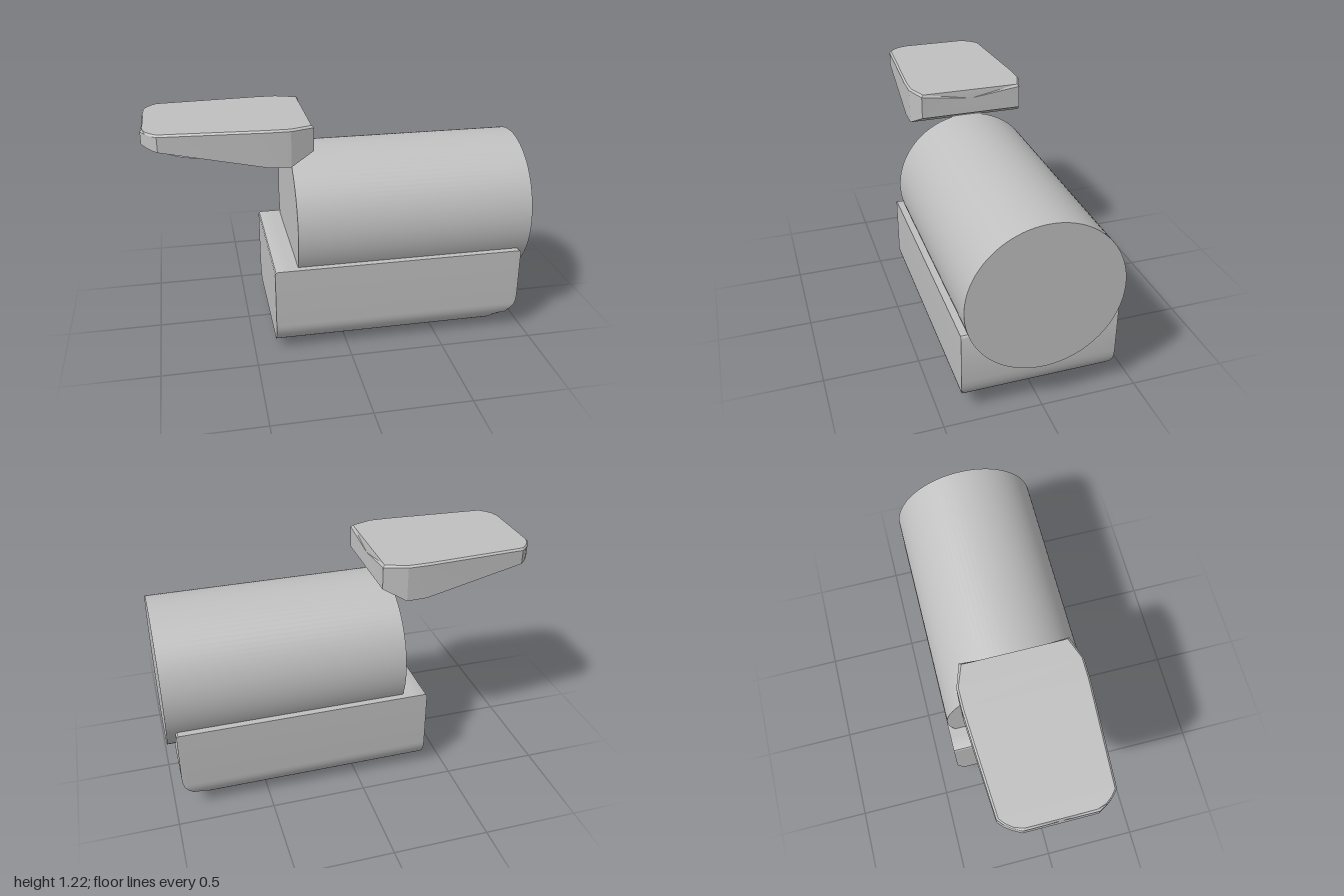
import * as THREE from 'three';
import { toCreasedNormals } from 'three/addons/utils/BufferGeometryUtils.js';

// Skin a row of convex rings (arrays of [x, y, z], running +y -> +z) stacked along +x, with end caps.
function loft(rings, crease) {
  const pos = [];
  const tri = (...pts) => pts.forEach((p) => pos.push(...p));
  const n = rings[0].length;
  const centre = (ring) => [0, 1, 2].map((k) => ring.reduce((s, p) => s + p[k], 0) / n);
  for (let i = 0; i < rings.length - 1; i++) {
    for (let j = 0; j < n; j++) {
      const k = (j + 1) % n;
      const [a, b, c, d] = [rings[i][j], rings[i][k], rings[i + 1][k], rings[i + 1][j]];
      tri(a, b, c);
      tri(a, c, d);
    }
  }
  const first = rings[0], last = rings[rings.length - 1];
  const c0 = centre(first), c1 = centre(last);
  for (let j = 0; j < n; j++) {
    const k = (j + 1) % n;
    tri(c0, first[k], first[j]);
    tri(c1, last[j], last[k]);
  }
  const g = new THREE.BufferGeometry();
  g.setAttribute('position', new THREE.Float32BufferAttribute(pos, 3));
  return toCreasedNormals(g, crease);
}

// Base section: rounded lower edges, cut off below the height "low"
function baseRing(x, low, top) {
  const w = 0.397, r = 0.135, floor = 0.025, steps = 12;
  const half = [[top, w]];
  for (let i = 0; i <= steps; i++) {
    const a = (i / steps) * Math.PI / 2;
    half.push([Math.max(low, floor + r - r * Math.sin(a)), w - r + r * Math.cos(a)]);
  }
  const mirrored = half.map(([y, z]) => [y, -z]).reverse();
  return [...half, ...mirrored].map(([y, z]) => [x, y, z]);
}

// Head section: vertical sides, small bevel round the top; "inset" shifts the top along x at the ends
function headRing(x, w, low, inset = 0) {
  const top = 1.215, b = 0.01;
  return [
    [x + inset, top, w - b], [x, top - b, w], [x, low, w],
    [x, low, -w], [x, top - b, -w], [x + inset, top, -(w - b)],
  ];
}

export function createModel() {
  const model = new THREE.Group();
  const grey = new THREE.MeshStandardMaterial({ color: 0xc0c0c0 });
  grey.name = 'grey';
  const add = (name, geometry, x = 0, y = 0, z = 0) => {
    const mesh = new THREE.Mesh(geometry, grey);
    mesh.name = name;
    mesh.position.set(x, y, z);
    model.add(mesh);
    return mesh;
  };

  // Horizontal drum
  add('drum', new THREE.CylinderGeometry(0.395, 0.395, 1.26, 96).rotateZ(Math.PI / 2), 0.37, 0.64, 0);

  // Base, as [x, lower limit, top] stations
  const base = [
    [-0.385, 0.052, 0.468], [-0.38, 0.05, 0.476], [-0.37, 0.045, 0.48], [-0.31, 0.025, 0.48],
    [0.82, 0.025, 0.48], [0.9, 0.09, 0.48], [0.925, 0.115, 0.48], [0.942, 0.142, 0.48],
    [0.946, 0.152, 0.48], [0.952, 0.175, 0.475], [0.955, 0.205, 0.468],
  ];
  add('base', loft(base.map((s) => baseRing(...s)), 0.5));

  // Foot pad under the base
  const x0 = -0.13, x1 = 0.77, hz = 0.25, r = 0.07;
  const pad = new THREE.Shape();
  pad.moveTo(x0 + r, -hz);
  pad.lineTo(x1 - r, -hz).absarc(x1 - r, -hz + r, r, -Math.PI / 2, 0);
  pad.lineTo(x1, hz - r).absarc(x1 - r, hz - r, r, 0, Math.PI / 2);
  pad.lineTo(x0 + r, hz).absarc(x0 + r, hz - r, r, Math.PI / 2, Math.PI);
  pad.lineTo(x0, -hz + r).absarc(x0 + r, -hz + r, r, Math.PI, Math.PI * 1.5);
  const padGeometry = new THREE.ExtrudeGeometry(pad, {
    depth: 0.02, bevelSize: 0.018, bevelThickness: 0.018, bevelSegments: 4, curveSegments: 10,
  }).rotateX(-Math.PI / 2);
  add('footPad', toCreasedNormals(padGeometry, 0.6), 0, 0.018, 0);

  // Flat wedge-shaped head, as [x, half width, underside, inset] stations
  const head = [
    [-1, 0.18, 1.143, 0.01], [-0.975, 0.225, 1.138], [-0.95, 0.258, 1.133], [-0.92, 0.283, 1.128],
    [-0.385, 0.315, 1.023], [-0.275, 0.315, 1.02], [-0.155, 0.275, 1.085, -0.01],
  ];
  add('head', loft(head.map((s) => headRing(...s)), 0.3));

  // Round disc let into the underside of the head
  add('headDisc', new THREE.CylinderGeometry(0.26, 0.26, 0.1, 64), -0.67, 1.125, 0);

  return model;
}
